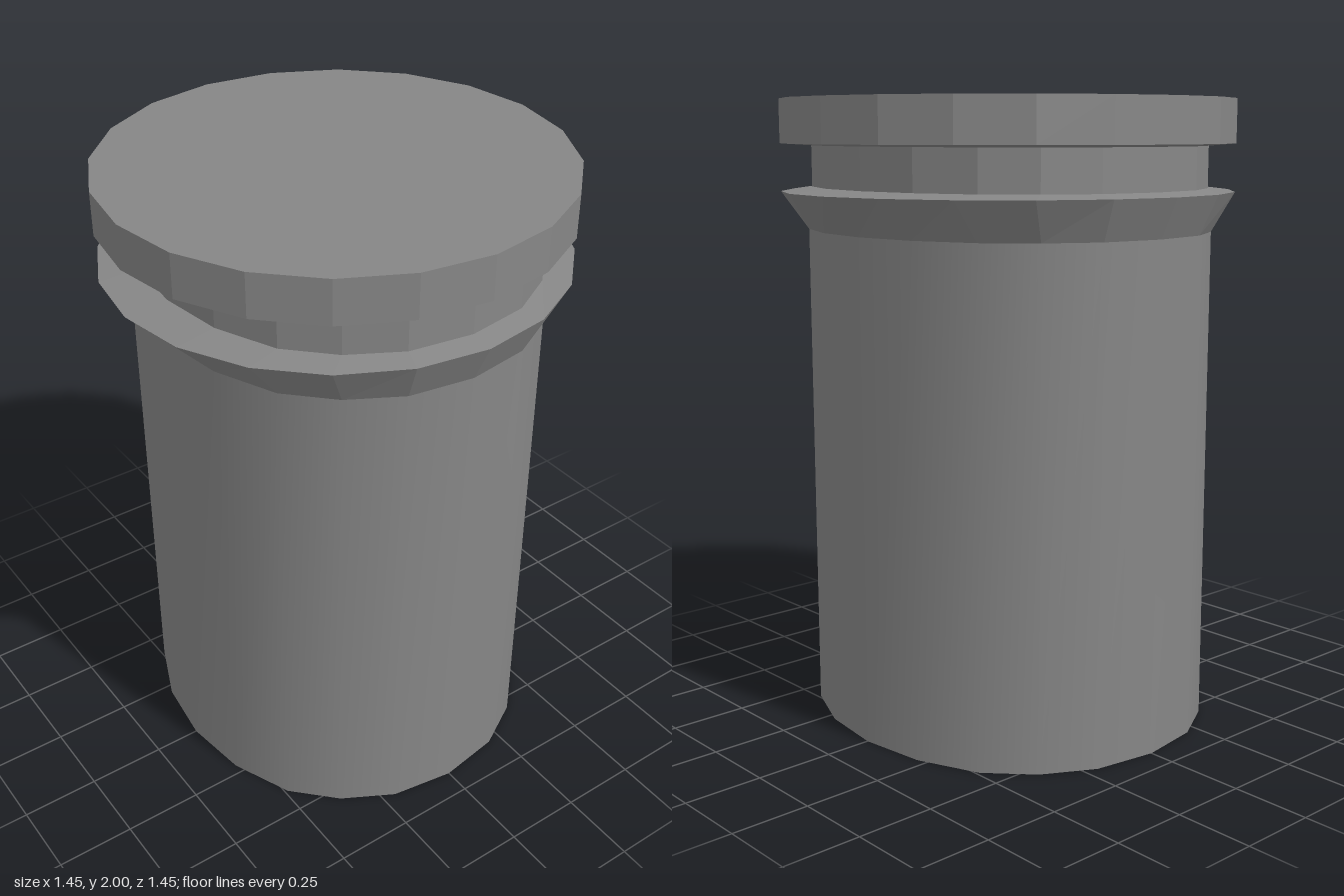
import * as THREE from 'three';
import { mergeVertices } from 'three/addons/utils/BufferGeometryUtils.js';

const SIDES = 20;

// Quarter outline of the slightly flattened body, [x, z] from the front to the side
const BODY_QUARTER = [
  [0, 0.665], [0.205, 0.633], [0.365, 0.543], [0.49, 0.413], [0.572, 0.217], [0.6, 0],
];

// Full outlines of SIDES points
const bodyOutline = Array.from({ length: SIDES }, (_, i) => {
  const m = i % 10;
  const [x, z] = BODY_QUARTER[m <= 5 ? m : 10 - m];
  const left = i <= 10 ? 1 : -1;
  const front = i <= 5 || i >= 15 ? 1 : -1;
  return new THREE.Vector2(left * x, front * z);
});
const neckOutline = bodyOutline.map((p) => p.clone().multiplyScalar(0.98));
const capOutline = bodyOutline.map((_, i) => {
  const a = (i / SIDES) * Math.PI * 2;
  return new THREE.Vector2(Math.sin(a), Math.cos(a)).multiplyScalar(0.724);
});

// Wall between a lower and an upper outline
function band([lower, y0], [upper, y1]) {
  const geo = new THREE.CylinderGeometry(1, 1, 1, SIDES, 1, true);
  const p = geo.attributes.position;
  for (let i = 0; i < p.count; i++) {
    const isTop = p.getY(i) > 0;
    const point = (isTop ? upper : lower)[(i % (SIDES + 1)) % SIDES];
    p.setXYZ(i, point.x, isTop ? y1 : y0, point.y);
  }
  // Weld the seam so smooth walls shade evenly all round
  geo.deleteAttribute('normal');
  geo.deleteAttribute('uv');
  const welded = mergeVertices(geo);
  welded.computeVertexNormals();
  return welded;
}

// Flat end face: dir 1 faces down, -1 faces up
function disc(outline, y, dir) {
  return new THREE.ShapeGeometry(new THREE.Shape(outline))
    .rotateX((dir * Math.PI) / 2).translate(0, y, 0);
}

export function createModel() {
  const group = new THREE.Group();
  const smooth = new THREE.MeshStandardMaterial({ color: 0x868686 });
  const flat = new THREE.MeshStandardMaterial({ color: 0x868686, flatShading: true });

  function add(name, geometry, material) {
    const mesh = new THREE.Mesh(geometry, material);
    mesh.name = name;
    group.add(mesh);
  }

  // Smooth body with a flat base
  add('body', band([bodyOutline, 0], [bodyOutline, 1.59]), smooth);
  add('base', disc(bodyOutline, 0, 1), flat);

  // Flared collar, recessed neck and round cap
  const rings = [
    [bodyOutline, 1.59],
    [capOutline, 1.713],
    [neckOutline, 1.725],
    [neckOutline, 1.855],
    [capOutline, 1.862],
    [capOutline, 2],
  ];
  ['collarFlare', 'collarTop', 'neck', 'capUnderside', 'capRim'].forEach((name, i) => {
    add(name, band(rings[i], rings[i + 1]), flat);
  });
  add('capTop', disc(capOutline, 2, -1), flat);

  return group;
}
